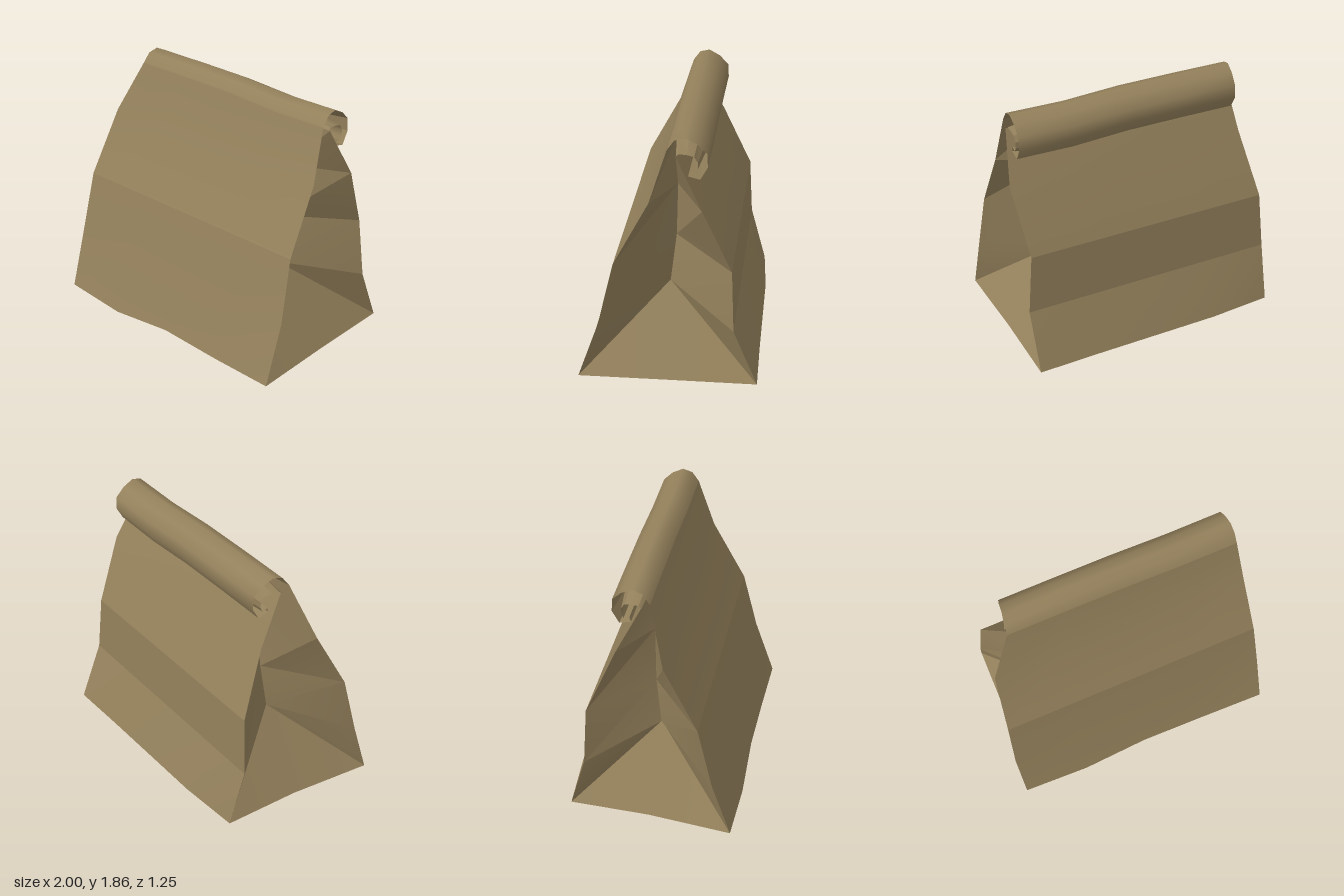
import * as THREE from 'three';
import { toCreasedNormals } from 'three/addons/utils/BufferGeometryUtils.js';

// Skin a grid of points (rows of [x, y, z]), skipping collapsed triangles
function skin(rows, crease) {
  const pos = [];
  const same = (p, q) => p.every((v, i) => Math.abs(v - q[i]) < 1e-6);
  const tri = (a, b, c) => {
    if (!same(a, b) && !same(b, c) && !same(a, c)) pos.push(...a, ...b, ...c);
  };
  for (let r = 0; r + 1 < rows.length; r++) {
    for (let c = 0; c + 1 < rows[r].length; c++) {
      const [a, b, d, e] = [rows[r][c], rows[r][c + 1], rows[r + 1][c], rows[r + 1][c + 1]];
      tri(a, b, e);
      tri(a, e, d);
    }
  }
  const g = new THREE.BufferGeometry();
  g.setAttribute('position', new THREE.Float32BufferAttribute(pos, 3));
  return toCreasedNormals(g, crease);
}

// Row of five points across the bag, with small wobbles in height and depth
const flat = [0, 0, 0, 0, 0];
function across([z, y, xl, xr], dy = flat, dz = flat) {
  return dy.map((d, i) => [xl + (xr - xl) * i / 4, y + d, z + dz[i]]);
}

export function createModel() {
  const bag = new THREE.Group();
  bag.name = 'paperBag';
  const paper = new THREE.MeshStandardMaterial({ color: 0x93805b, side: THREE.DoubleSide });
  paper.name = 'kraft brown';
  const add = (name, rows, crease) => {
    const mesh = new THREE.Mesh(skin(rows, crease), paper);
    mesh.name = name;
    bag.add(mesh);
  };

  // Panel profiles: z, y, left x, right x
  const topWobble = [-0.005, 0, 0, -0.02, -0.012];
  const front = [
    [0.62, 0.03, -0.99, 0.995], [0.475, 0.46, -1, 0.995], [0.365, 0.92, -0.98, 0.97],
    [0.12, 1.38, -0.945, 0.955], [0, 1.77, -0.775, 0.925],
  ].map((p, i) => across(p,
    i === 0 ? [0.005, -0.03, 0.015, -0.005, 0] : i === 4 ? topWobble : flat,
    i === 0 ? [-0.01, 0, -0.015, -0.01, 0.005] : flat));
  const back = [
    [-0.615, 0.035, -0.9, 0.98], [-0.46, 0.45, -0.915, 0.98], [-0.44, 0.89, -0.88, 0.94],
    [-0.24, 1.36, -0.795, 0.995], [-0.06, 1.73, -0.765, 0.935],
  ].map((p, i) => across(p, i === 4 ? topWobble : flat,
    i === 0 ? [0.04, 0.005, 0, -0.005, -0.015] : flat));
  add('frontPanel', front, 0.22);
  add('backPanel', back.map((r) => [...r].reverse()), 0.15);

  // Bottom, with a middle row
  const middle = front[0].map((p, i) => [
    i === 0 ? -0.91 : i === 4 ? 0.975 : (p[0] + back[0][i][0]) / 2, 0.025, 0]);
  add('bottom', [back[0], middle, front[0]], 0.15);

  // Rolled top: outer and inner lines of the curled paper (z, y)
  const outer = [[0, 1.77], [-0.05, 1.84], [-0.12, 1.86], [-0.2, 1.82],
    [-0.265, 1.755], [-0.27, 1.66], [-0.22, 1.57], [-0.14, 1.59]];
  const inner = [[-0.06, 1.73], [-0.08, 1.745], [-0.13, 1.742], [-0.18, 1.73],
    [-0.205, 1.69], [-0.205, 1.645], [-0.19, 1.615], [-0.15, 1.625]];
  const rollRow = ([z, y], i) =>
    across([z, y, -0.775 + 0.04 * Math.min(1, i / 4), 0.925], topWobble);
  const outerRows = outer.map(rollRow);
  const innerRows = inner.map(rollRow);
  add('rolledTop', [...outerRows, ...[...innerRows].reverse()], 1);

  // Side gussets: a sloping triangle at the foot, a deep inward centre fold,
  // and the same fold carried on into the open ends of the roll
  const fold = [[0.6, 0.02, 0.42], [0.6, 0.02, 0.42], [0.95, -0.02, 0.42],
    [1.36, -0.035, 0.4], [1.74, -0.04, 0.34]];
  for (const side of [-1, 1]) {
    const c = side < 0 ? 0 : 4;
    const wind = (rows) => (side > 0 ? rows : rows.map((r) => [...r].reverse()));
    const name = side < 0 ? 'right' : 'left';
    const rows = fold.map(([y, z, depth], i) => {
      const edge = (front[i][c][0] + back[i][c][0]) / 2;
      return [front[i][c], [edge - side * depth, y, z], back[i][c]];
    });
    add(name + 'Gusset', wind([[front[0][c], middle[c], back[0][c]], ...rows]), 0.3);
    add(name + 'RollFold', wind(outerRows.map((r, i) => {
      const [p, q] = [r[c], innerRows[i][c]];
      return [p, [p[0] - side * 0.34, (p[1] + q[1]) / 2, (p[2] + q[2]) / 2], q];
    })), 0.3);
  }

  return bag;
}
